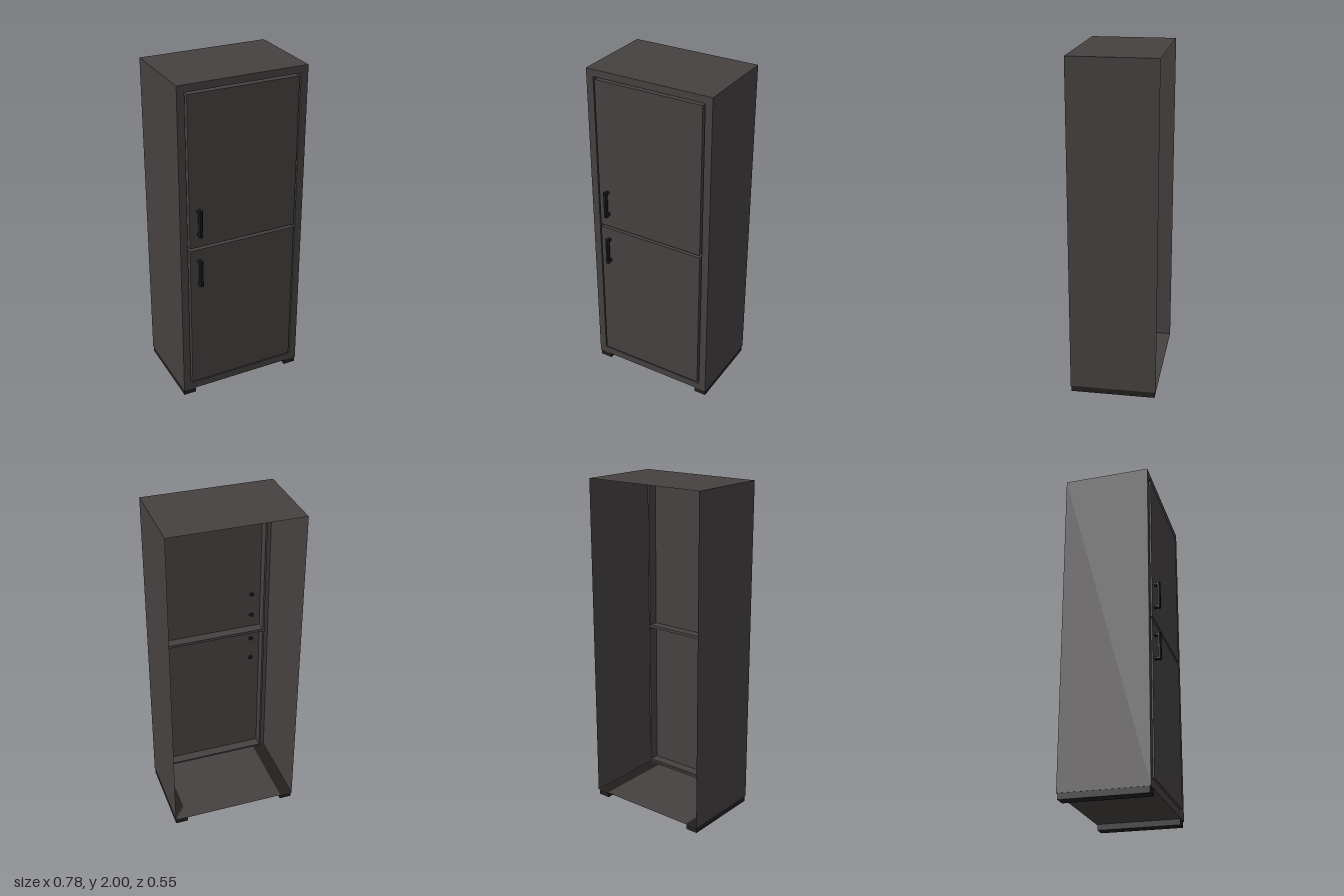
import * as THREE from 'three';

const body = new THREE.MeshStandardMaterial({ color: 0x454140, side: THREE.DoubleSide });
body.name = 'charcoal';
const footMat = new THREE.MeshStandardMaterial({ color: 0x221e1e });
footMat.name = 'darkFeet';
const handleMat = new THREE.MeshStandardMaterial({ color: 0x17191a });
handleMat.name = 'blackHandle';

// A rectangle is [left, right, bottom, top].
function trace(path, [l, r, b, t]) {
  path.moveTo(l, b);
  path.lineTo(r, b);
  path.lineTo(r, t);
  path.lineTo(l, t);
  path.closePath();
  return path;
}

// Flat sheet facing +z, with rectangular holes
function sheet(rect, holes, z) {
  const shape = trace(new THREE.Shape(), rect);
  shape.holes = holes.map((h) => trace(new THREE.Path(), h));
  return new THREE.ShapeGeometry(shape).translate(0, 0, z);
}

// Open four-sided tube along z
function sleeve([l, r, b, t], z0, z1) {
  const g = new THREE.CylinderGeometry(Math.SQRT1_2, Math.SQRT1_2, 1, 4, 1, true)
    .rotateY(Math.PI / 4)
    .rotateX(Math.PI / 2)
    .toNonIndexed();
  g.scale(r - l, t - b, z1 - z0);
  g.translate((l + r) / 2, (b + t) / 2, (z0 + z1) / 2);
  g.computeVertexNormals();
  return g;
}

export function createModel() {
  const model = new THREE.Group();
  model.name = 'refrigerator';
  const add = (parent, name, geometry, material) => {
    const mesh = new THREE.Mesh(geometry, material);
    mesh.name = name;
    parent.add(mesh);
    return mesh;
  };

  const front = 0.235, back = -0.277, grooveZ = 0.18, doorZ = 0.24;
  const outer = [-0.39, 0.39, 0.035, 2];
  const opening = [-0.346, 0.346, 0.08, 1.958];
  const doors = {
    lowerDoor: [-0.335, 0.335, 0.092, 1.013],
    upperDoor: [-0.335, 0.335, 1.03, 1.946],
  };

  // Thin cabinet shell, open at the back
  add(model, 'cabinetWalls', sleeve(outer, back, front), body);
  add(model, 'frontFrame', sheet(outer, [opening], front), body);

  // Groove around both doors
  add(model, 'grooveWalls', sleeve(opening, grooveZ, front), body);
  add(model, 'grooveFloor', sheet(opening, Object.values(doors), grooveZ), body);

  // Doors: edges rising out of the groove and a front panel
  for (const [name, rect] of Object.entries(doors)) {
    const door = new THREE.Group();
    door.name = name;
    add(door, 'doorEdges', sleeve(rect, grooveZ, doorZ), body);
    add(door, 'doorPanel', sheet(rect, [], doorZ), body);
    model.add(door);
  }

  // Handles: chamfered bar on two octagonal posts that pass through the door
  const barProfile = new THREE.Shape([
    [-0.013, -0.261], [-0.013, -0.267], [-0.007, -0.276],
    [0.007, -0.276], [0.013, -0.267], [0.013, -0.261],
  ].map(([x, y]) => new THREE.Vector2(x, y)));
  for (const [name, y0] of [['lowerHandle', 0.783], ['upperHandle', 1.105]]) {
    const handle = new THREE.Group();
    handle.name = name;
    handle.position.set(-0.278, y0, 0);
    const length = 0.165;
    add(handle, 'handleBar',
      new THREE.ExtrudeGeometry(barProfile, { depth: length, bevelEnabled: false })
        .rotateX(-Math.PI / 2), handleMat);
    for (const y of [0.01, length - 0.01]) {
      const post = new THREE.CylinderGeometry(0.5, 0.5, 0.04, 8)
        .rotateY(Math.PI / 8)
        .rotateX(Math.PI / 2)
        .scale(0.027, 0.021, 1)
        .toNonIndexed();
      post.computeVertexNormals();
      add(handle, 'handlePost', post, handleMat).position.set(0, y, 0.246);
    }
    model.add(handle);
  }

  // Long runner feet on both sides
  for (const side of [-1, 1]) {
    add(model, side > 0 ? 'leftFoot' : 'rightFoot',
      new THREE.BoxGeometry(0.076, 0.035, 0.5), footMat)
      .position.set(side * 0.35, 0.0175, -0.02);
  }
  return model;
}
